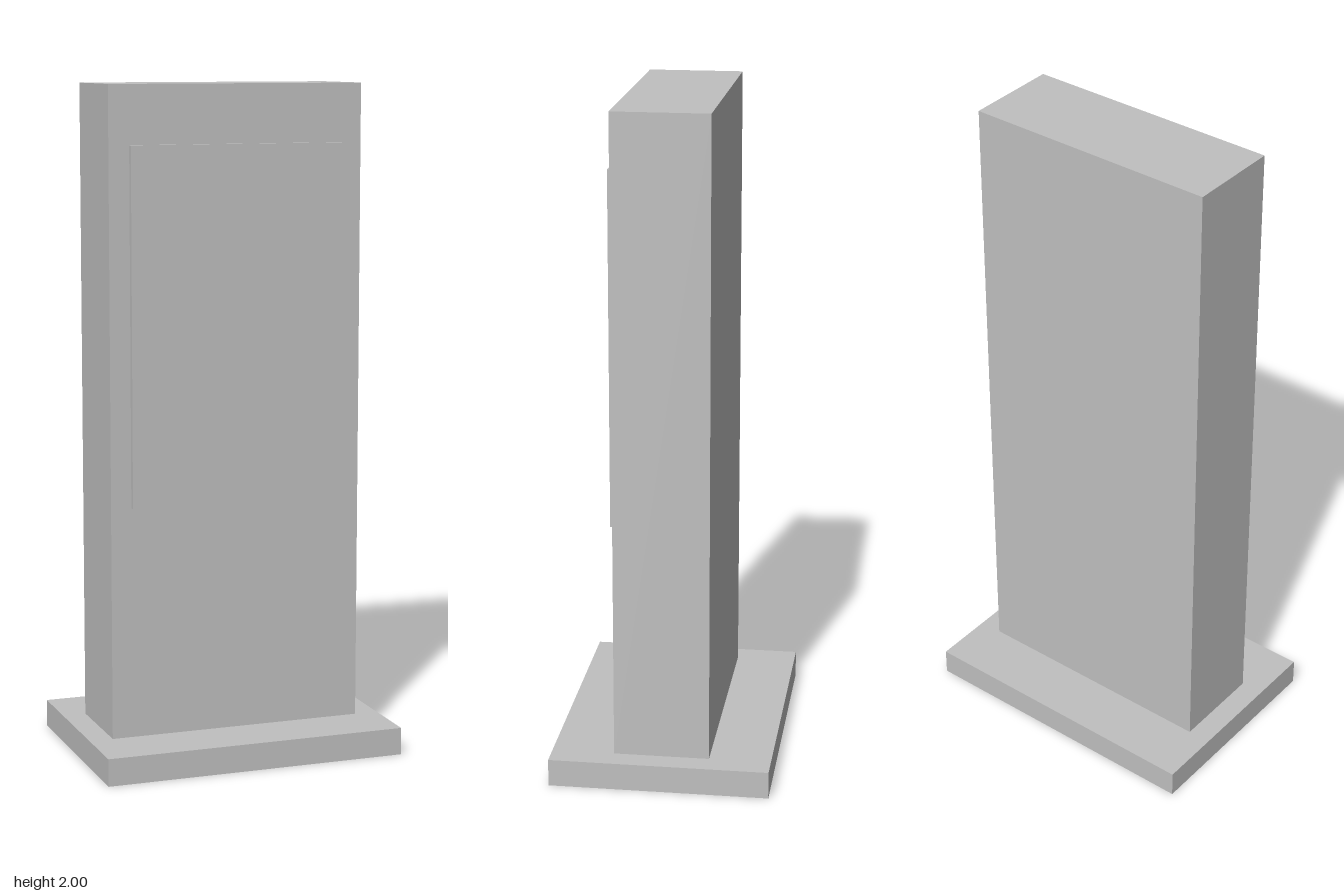
import * as THREE from 'three';

export function createModel() {
  const model = new THREE.Group();
  model.name = 'kiosk';
  const grey = new THREE.MeshStandardMaterial({ color: 0xc0c0c0 });
  grey.name = 'light grey';

  // Box given by its size, bottom height and back face
  function addBox(name, width, height, depth, bottom, back) {
    const mesh = new THREE.Mesh(new THREE.BoxGeometry(width, height, depth), grey);
    mesh.name = name;
    mesh.position.set(0, bottom + height / 2, back + depth / 2);
    model.add(mesh);
  }

  // Wide foot plate
  addBox('base', 0.92, 0.082, 0.654, 0, -0.327);
  // Upright slab standing on the plate
  addBox('body', 0.778, 1.918, 0.284, 0.082, -0.143);
  // Raised display panel on the front
  addBox('screen', 0.654, 1.054, 0.016, 0.773, 0.141);

  return model;
}
